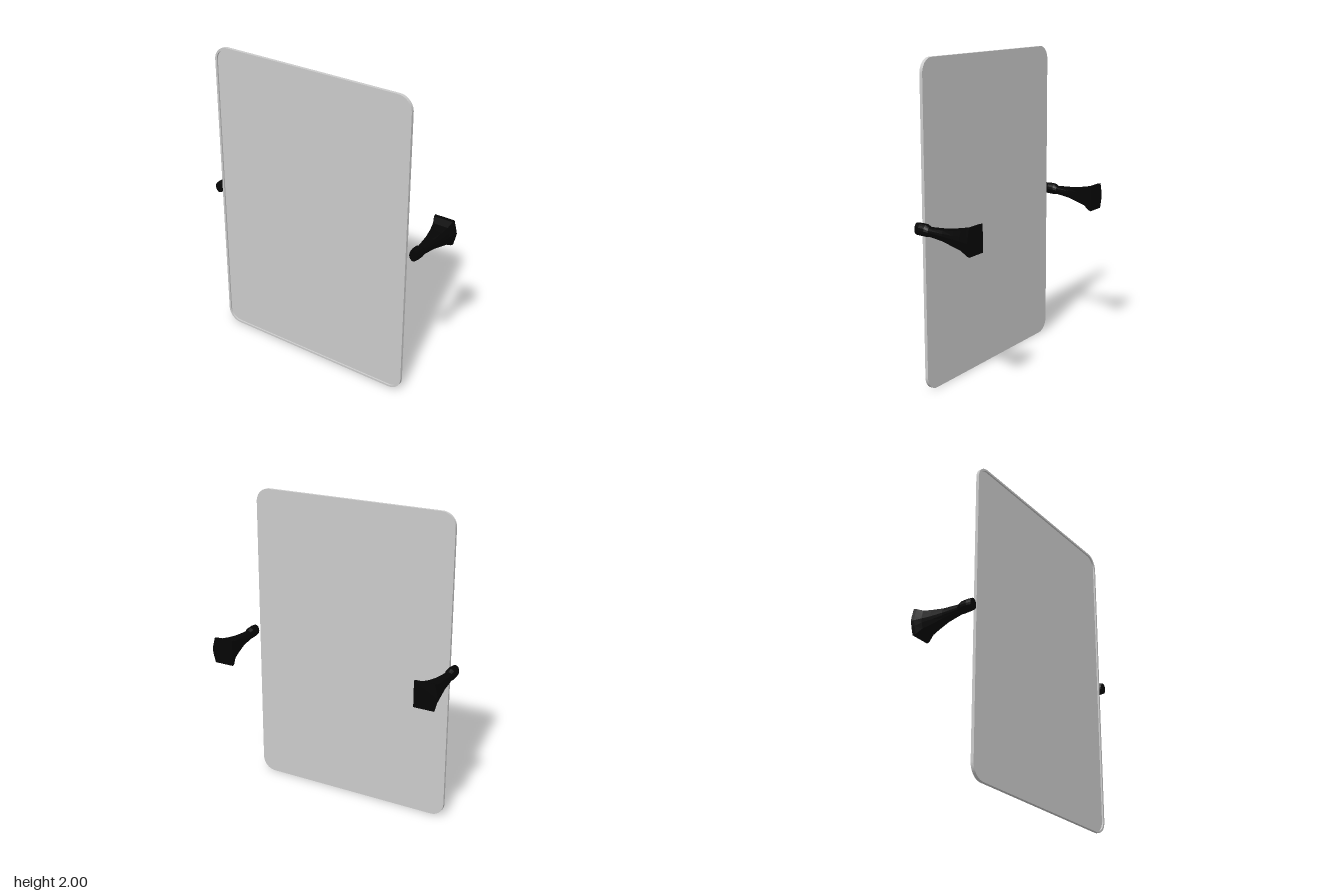
import * as THREE from 'three';

// Rounded rectangle traced on a Shape or Path
function roundedRect(path, x0, y0, x1, y1, r) {
  path.moveTo(x0 + r, y0);
  path.lineTo(x1 - r, y0);
  path.absarc(x1 - r, y0 + r, r, -Math.PI / 2, 0);
  path.lineTo(x1, y1 - r);
  path.absarc(x1 - r, y1 - r, r, 0, Math.PI / 2);
  path.lineTo(x0 + r, y1);
  path.absarc(x0 + r, y1 - r, r, Math.PI / 2, Math.PI);
  path.lineTo(x0, y0 + r);
  path.absarc(x0 + r, y0 + r, r, Math.PI, Math.PI * 1.5);
  return path;
}

function slab(shape, z, depth) {
  const geo = new THREE.ExtrudeGeometry(shape, { depth, bevelEnabled: false, curveSegments: 8 });
  return geo.translate(0, 0, z);
}

// Bracket sections from knob to wall: z, inner x, outer x, bottom y, top y, D-shape amount
const SECTIONS = [
  [0.2, 0.703, 0.757, 0.986, 1.058, 0],
  [0.17, 0.695, 0.763, 0.984, 1.06, 0],
  [0.13, 0.694, 0.764, 0.982, 1.057, 0],
  [0.105, 0.701, 0.756, 0.985, 1.043, 0.2],
  [0.0, 0.692, 0.763, 0.972, 1.045, 0.6],
  [-0.08, 0.68, 0.774, 0.955, 1.052, 0.9],
  [-0.135, 0.667, 0.783, 0.944, 1.061, 1],
  [-0.18, 0.647, 0.794, 0.919, 1.081, 1],
  [-0.2, 0.643, 0.798, 0.915, 1.085, 1],
];

// Unit outline: circle blended to a D with a square inner side and a curved outer side
function outline(a, blend) {
  const c = Math.cos(a), s = Math.sin(a);
  const m = Math.max(Math.abs(c), Math.abs(s));
  const sx = c / m, sy = s / m;
  const dx = c > 0 ? sx * (1 - 0.3 * Math.max(0, Math.abs(sy) - 0.1) * sx) : sx;
  return [THREE.MathUtils.lerp(c, dx, blend), THREE.MathUtils.lerp(s, sy, blend)];
}

function bracketGeometry(side) {
  const n = 16, pos = [], index = [];
  for (const [z, x0, x1, y0, y1, blend] of SECTIONS) {
    for (let j = 0; j < n; j++) {
      const [u, v] = outline((side * j * Math.PI * 2) / n, blend);
      pos.push(side * ((x0 + x1) / 2 + (u * (x1 - x0)) / 2), (y0 + y1) / 2 + (v * (y1 - y0)) / 2, z);
    }
  }
  const last = SECTIONS.length - 1;
  for (let i = 0; i < last; i++) {
    for (let j = 0; j < n; j++) {
      const k = (j + 1) % n, a = i * n, b = a + n;
      index.push(a + j, b + j, a + k, b + j, b + k, a + k);
    }
  }
  // End caps
  for (let j = 1; j < n - 1; j++) {
    index.push(0, j, j + 1);
    index.push(last * n, last * n + j + 1, last * n + j);
  }
  const geo = new THREE.BufferGeometry();
  geo.setAttribute('position', new THREE.Float32BufferAttribute(pos, 3));
  geo.setIndex(index);
  geo.computeVertexNormals();
  return geo;
}

export function createModel() {
  const model = new THREE.Group();
  const grey = new THREE.MeshStandardMaterial({ color: 0xcccccc });
  const black = new THREE.MeshStandardMaterial({ color: 0x050505, flatShading: true });
  const add = (name, geo, mat) => {
    const mesh = new THREE.Mesh(geo, mat);
    mesh.name = name;
    model.add(mesh);
  };

  // Flat panel with a thin raised rim around its front
  const [x0, x1, t] = [-0.7, 0.68, 0.013];
  add('panel', slab(roundedRect(new THREE.Shape(), x0, 0, x1, 2, 0.09), 0.18, 0.01), grey);
  const rim = roundedRect(new THREE.Shape(), x0, 0, x1, 2, 0.09);
  rim.holes.push(roundedRect(new THREE.Path(), x0 + t, t, x1 - t, 2 - t, 0.09 - t));
  add('rim', slab(rim, 0.19, 0.01), grey);

  // Wall brackets on both sides
  add('leftBracket', bracketGeometry(1), black);
  add('rightBracket', bracketGeometry(-1), black);
  return model;
}
